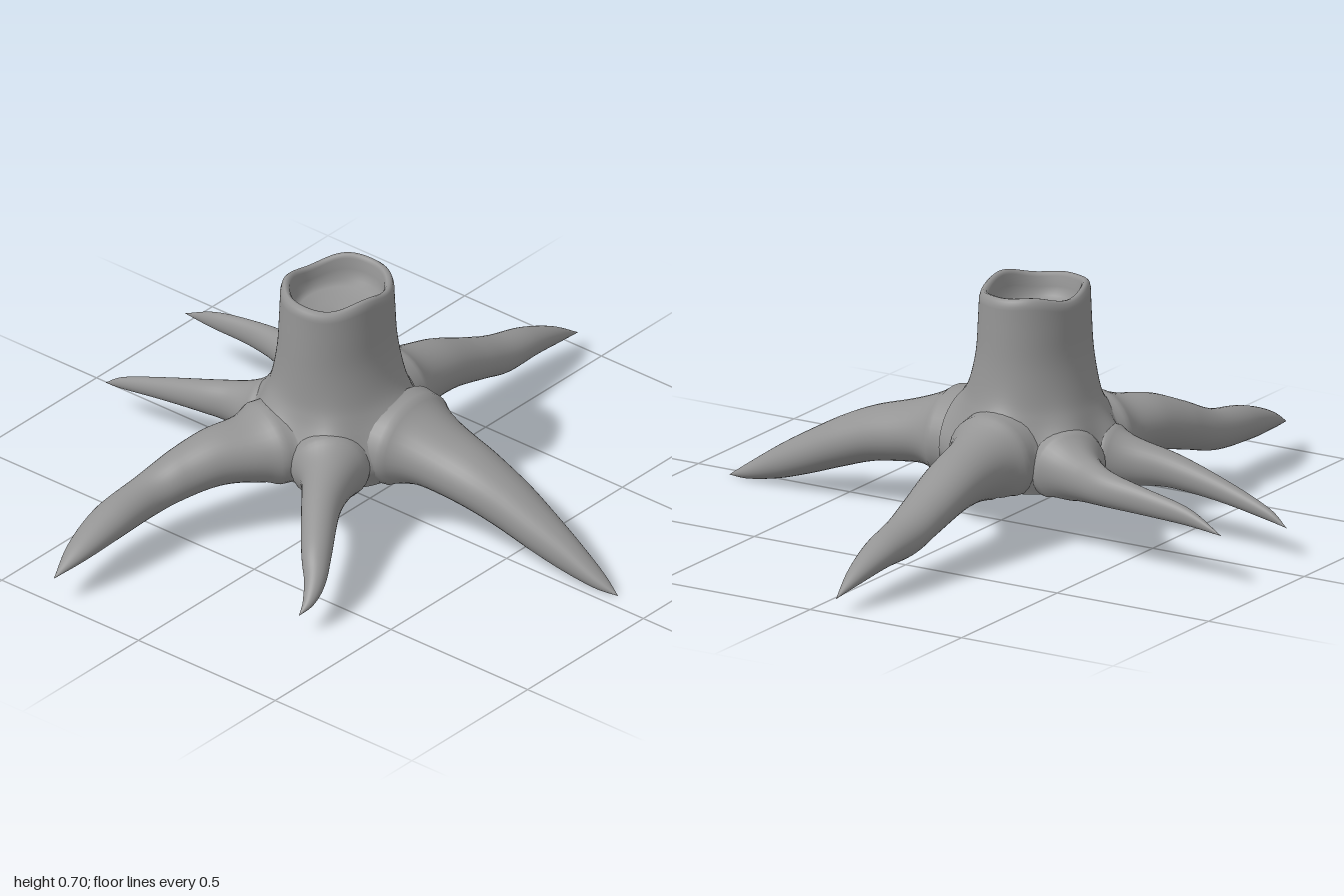
import * as THREE from 'three';

const CX = -0.085, CZ = 0.035; // trunk axis
const FOOT = 0.15;             // height of the open foot

const material = new THREE.MeshStandardMaterial({ color: 0x949494, side: THREE.DoubleSide });

// Closed-ring skin: place(row, column) returns a point, both in 0..1
function skin(name, rows, cols, place) {
  const pos = [], idx = [];
  for (let r = 0; r <= rows; r++) {
    for (let c = 0; c < cols; c++) pos.push(...place(r / rows, c / cols));
  }
  for (let r = 0; r < rows; r++) {
    for (let c = 0; c < cols; c++) {
      const a = r * cols + c, b = r * cols + (c + 1) % cols;
      idx.push(a, a + cols, b, b, a + cols, b + cols);
    }
  }
  const geo = new THREE.BufferGeometry();
  geo.setAttribute('position', new THREE.Float32BufferAttribute(pos, 3));
  geo.setIndex(idx);
  geo.computeVertexNormals();
  const mesh = new THREE.Mesh(geo, material);
  mesh.name = name;
  return mesh;
}

// Each root: centre x, y, z, half width, half height along its length
const ROOTS = {
  leftRoot: [
    [0.10, 0.245, -0.01, 0.135, 0.1], [0.20, 0.24, -0.015, 0.118, 0.09], [0.30, 0.22, -0.02, 0.106, 0.085],
    [0.40, 0.197, -0.023, 0.094, 0.08], [0.50, 0.16, -0.03, 0.08, 0.075], [0.60, 0.115, -0.035, 0.065, 0.065],
    [0.70, 0.07, -0.04, 0.047, 0.05], [0.80, 0.027, -0.044, 0.026, 0.025], [0.87, 0.002, -0.045, 0, 0],
  ],
  backRoot: [
    [-0.085, 0.245, -0.15, 0.105, 0.095], [-0.085, 0.24, -0.25, 0.091, 0.088], [-0.085, 0.22, -0.40, 0.084, 0.075],
    [-0.085, 0.17, -0.55, 0.072, 0.062], [-0.085, 0.137, -0.65, 0.063, 0.057], [-0.085, 0.118, -0.78, 0.05, 0.042],
    [-0.085, 0.085, -0.90, 0.028, 0.024], [-0.085, 0.045, -1.0, 0, 0],
  ],
  frontRightRoot: [
    [-0.15, 0.23, 0.20, 0.11, 0.08], [-0.19, 0.23, 0.30, 0.1, 0.08], [-0.24, 0.226, 0.40, 0.087, 0.079],
    [-0.285, 0.196, 0.50, 0.072, 0.071], [-0.315, 0.162, 0.60, 0.06, 0.06], [-0.322, 0.143, 0.75, 0.058, 0.05],
    [-0.316, 0.115, 0.89, 0.037, 0.028], [-0.31, 0.08, 1.0, 0, 0],
  ],
  frontLeftRoot: [
    [0.01, 0.222, 0.18, 0.085, 0.07], [0.07, 0.217, 0.26, 0.07, 0.068], [0.15, 0.203, 0.39, 0.054, 0.056],
    [0.245, 0.16, 0.52, 0.043, 0.045], [0.294, 0.12, 0.585, 0.031, 0.034], [0.318, 0.088, 0.64, 0.018, 0.018],
    [0.32, 0.06, 0.685, 0, 0],
  ],
  backRightRoot: [
    [-0.24, 0.225, -0.06, 0.085, 0.075], [-0.30, 0.222, -0.1, 0.07, 0.068], [-0.38, 0.218, -0.145, 0.053, 0.06],
    [-0.47, 0.216, -0.186, 0.042, 0.05], [-0.60, 0.207, -0.205, 0.027, 0.039], [-0.75, 0.189, -0.213, 0.018, 0.025],
    [-0.87, 0.157, -0.228, 0, 0],
  ],
  rightRoot: [
    [-0.24, 0.215, 0.075, 0.08, 0.07], [-0.30, 0.21, 0.088, 0.065, 0.064], [-0.40, 0.207, 0.104, 0.048, 0.058],
    [-0.50, 0.195, 0.12, 0.041, 0.049], [-0.65, 0.162, 0.125, 0.027, 0.034], [-0.80, 0.12, 0.122, 0.014, 0.018],
    [-0.87, 0.09, 0.115, 0, 0],
  ],
};

// Trunk outline, radius and height, from the foot to the rim
const outline = new THREE.SplineCurve([
  [0.226, FOOT], [0.238, 0.2], [0.235, 0.25], [0.218, 0.3], [0.2, 0.35],
  [0.186, 0.4], [0.17, 0.5], [0.164, 0.6], [0.161, 0.67],
].map(p => new THREE.Vector2(...p))).getPoints(40);

// Swellings where the roots leave the trunk
const bulges = Object.values(ROOTS).map(d => {
  const [x, y, z, w] = d[1];
  return { angle: Math.atan2(z - CZ, x - CX), y, w };
});

function swelling(a, y) {
  let sum = 0;
  for (const b of bulges) {
    const da = Math.atan2(Math.sin(a - b.angle), Math.cos(a - b.angle));
    sum += 0.85 * b.w * Math.exp(-((da / (b.w * 3.8)) ** 2) - ((y - b.y) / 0.095) ** 2);
  }
  return sum * THREE.MathUtils.clamp((y - FOOT) / 0.06, 0, 1);
}

// Outer trunk radius at an angle and height
function trunkRadius(a, y) {
  const i = Math.max(1, outline.findIndex(p => p.y >= y));
  const p = outline[i - 1], q = outline[i];
  const t = THREE.MathUtils.clamp((y - p.y) / (q.y - p.y), 0, 1);
  return THREE.MathUtils.lerp(p.x, q.x, t) + swelling(a, y);
}

function makeRoot(name, data) {
  const path = new THREE.CatmullRomCurve3(data.map(d => new THREE.Vector3(d[0], d[1], d[2])), false, 'catmullrom');
  const size = new THREE.CatmullRomCurve3(data.map(d => new THREE.Vector3(d[3], d[4], 0)), false, 'catmullrom');
  const up = new THREE.Vector3(0, 1, 0);
  return skin(name, 64, 32, (t, u) => {
    const p = path.getPoint(t), s = size.getPoint(t), a = u * Math.PI * 2;
    const side = path.getTangent(t).cross(up).normalize();
    // Flare into the trunk
    const reach = Math.hypot(p.x - CX, p.z - CZ);
    const flare = 0.035 * Math.exp(-Math.max(0, reach - 0.24) / 0.05);
    p.addScaledVector(side, Math.cos(a) * (Math.max(0, s.x) + flare));
    p.y += Math.sin(a) * (Math.max(0, s.y) + flare);
    // Keep the base level with the foot and outside the hollow
    let r = Math.hypot(p.x - CX, p.z - CZ);
    const angle = Math.atan2(p.z - CZ, p.x - CX);
    p.y = Math.max(p.y, FOOT - Math.max(0, r - 0.28));
    r = Math.max(r, trunkRadius(angle, p.y) - 0.002);
    return [CX + r * Math.cos(angle), p.y, CZ + r * Math.sin(angle)];
  });
}

function makeTrunk() {
  // Rounded rim and the shallow hollow in the top
  const hollow = [
    [0.157, 0.684], [0.149, 0.691], [0.14, 0.689], [0.134, 0.68], [0.131, 0.65],
    [0.125, 0.622], [0.11, 0.61], [0.06, 0.6], [0, 0.596],
  ].map(p => new THREE.Vector2(...p));
  const profile = [...outline, ...hollow];
  const last = profile.length - 1;
  return skin('trunk', last, 96, (t, u) => {
    const i = Math.round(t * last), p = profile[i], a = u * Math.PI * 2;
    const r = i < outline.length ? trunkRadius(a, p.y) : p.x;
    // Oval towards the top, with an uneven rim
    const rise = THREE.MathUtils.smoothstep(p.y, 0.3, 0.55);
    const oval = 0.075 * rise;
    const wave = 0.008 * Math.sin(3 * a + 0.8) + 0.004 * Math.sin(5 * a + 0.5);
    const y = p.y + wave * THREE.MathUtils.smoothstep(p.y, 0.6, 0.68);
    return [CX + r * (1 - oval) * Math.cos(a), y, CZ + 0.006 * rise + r * (1 + oval) * Math.sin(a)];
  });
}

export function createModel() {
  const stump = new THREE.Group();
  stump.name = 'treeStump';
  stump.add(makeTrunk());
  for (const [name, data] of Object.entries(ROOTS)) stump.add(makeRoot(name, data));
  return stump;
}
